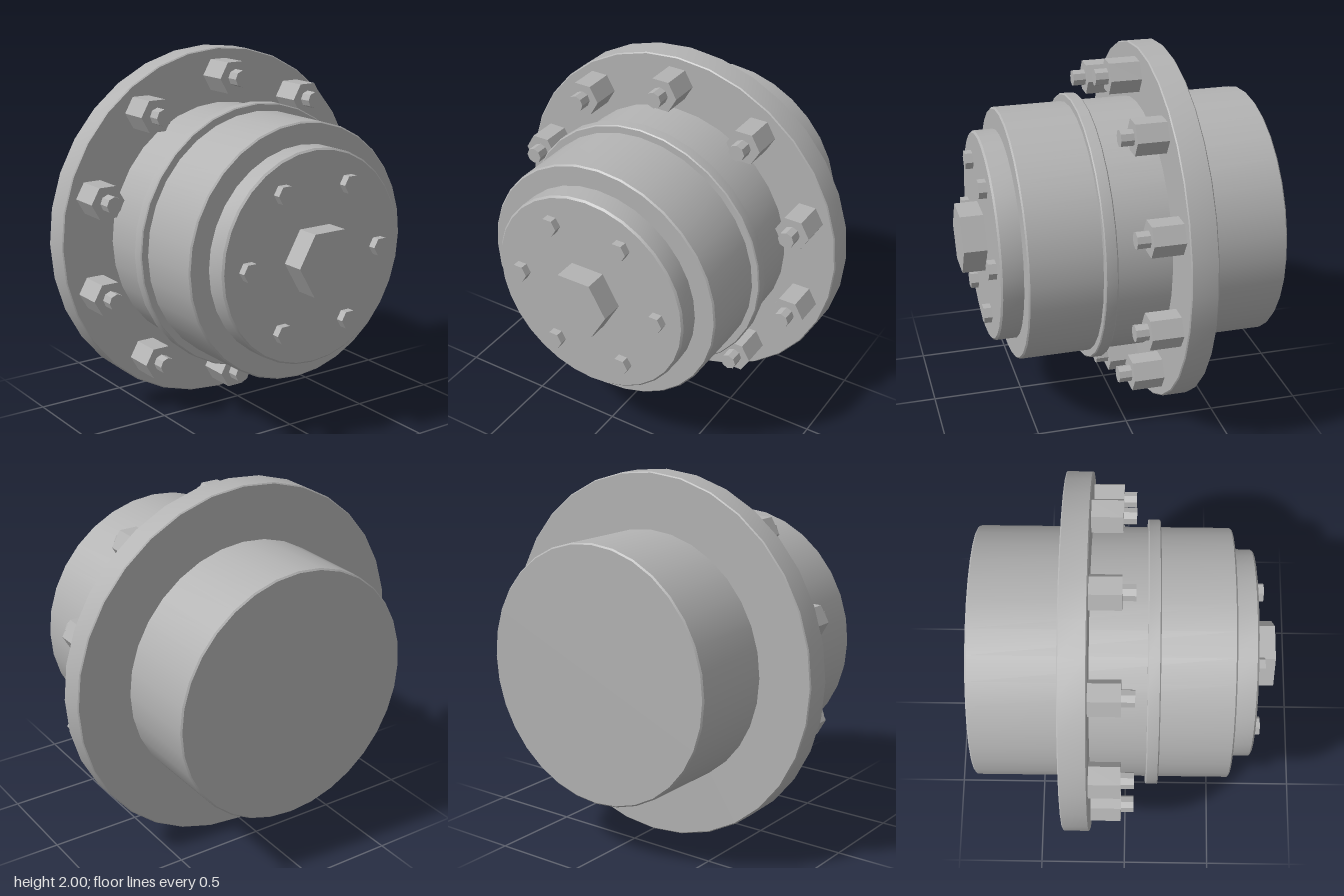
import * as THREE from 'three';
import { toCreasedNormals } from 'three/addons/utils/BufferGeometryUtils.js';

const SIDES = 32;
const metal = new THREE.MeshStandardMaterial({ color: 0xb3b3b3 });
metal.name = 'grey metal';

// Solid disc along the x axis with small chamfers on both rims
function disc(name, x0, x1, radius, bevel) {
  const profile = [
    [0, x0], [radius - bevel, x0], [radius, x0 + bevel],
    [radius, x1 - bevel], [radius - bevel, x1], [0, x1],
  ].map(([r, x]) => new THREE.Vector2(r, x));
  const lathe = new THREE.LatheGeometry(profile, SIDES).rotateZ(-Math.PI / 2);
  const mesh = new THREE.Mesh(toCreasedNormals(lathe, Math.PI / 6), metal);
  mesh.name = name;
  return mesh;
}

// Flat-sided prism along the x axis, with a corner pointing towards +z
function prism(name, x0, x1, radius, sides) {
  const geometry = new THREE.CylinderGeometry(radius, radius, x1 - x0, sides)
    .rotateZ(-Math.PI / 2)
    .translate((x0 + x1) / 2, 0, 0);
  const mesh = new THREE.Mesh(toCreasedNormals(geometry, Math.PI / 10), metal);
  mesh.name = name;
  return mesh;
}

// Repeats a part on a circle round the x axis without turning it
function ring(parent, count, radius, start, makePart) {
  for (let i = 0; i < count; i++) {
    const a = start + (i / count) * Math.PI * 2;
    const part = makePart();
    part.position.set(0, Math.sin(a) * radius, Math.cos(a) * radius);
    parent.add(part);
  }
}

export function createModel() {
  const hub = new THREE.Group();
  hub.name = 'wheelHub';
  hub.position.y = 1;

  // Stacked round housing
  hub.add(
    disc('hubBody', -0.82, 0.57, 0.695, 0.008),
    disc('mountingFlange', -0.335, -0.188, 1, 0.006),
    disc('sealRing', 0.112, 0.18, 0.738, 0.006),
    disc('endCap', 0.56, 0.69, 0.577, 0.01),
    prism('centrePlug', 0.68, 0.817, 0.192, 6),
  );

  // Wheel studs with hexagonal nuts
  ring(hub, 10, 0.852, Math.PI / 2, () => {
    const stud = new THREE.Group();
    stud.name = 'wheelStud';
    stud.add(
      prism('studNut', -0.195, -0.02, 0.098, 6),
      prism('studTip', -0.03, 0.05, 0.046, 8),
    );
    return stud;
  });

  // Small cap screws
  ring(hub, 6, 0.425, 0, () => prism('capScrew', 0.68, 0.733, 0.052, 6));

  const model = new THREE.Group();
  model.name = 'model';
  model.add(hub);
  return model;
}
